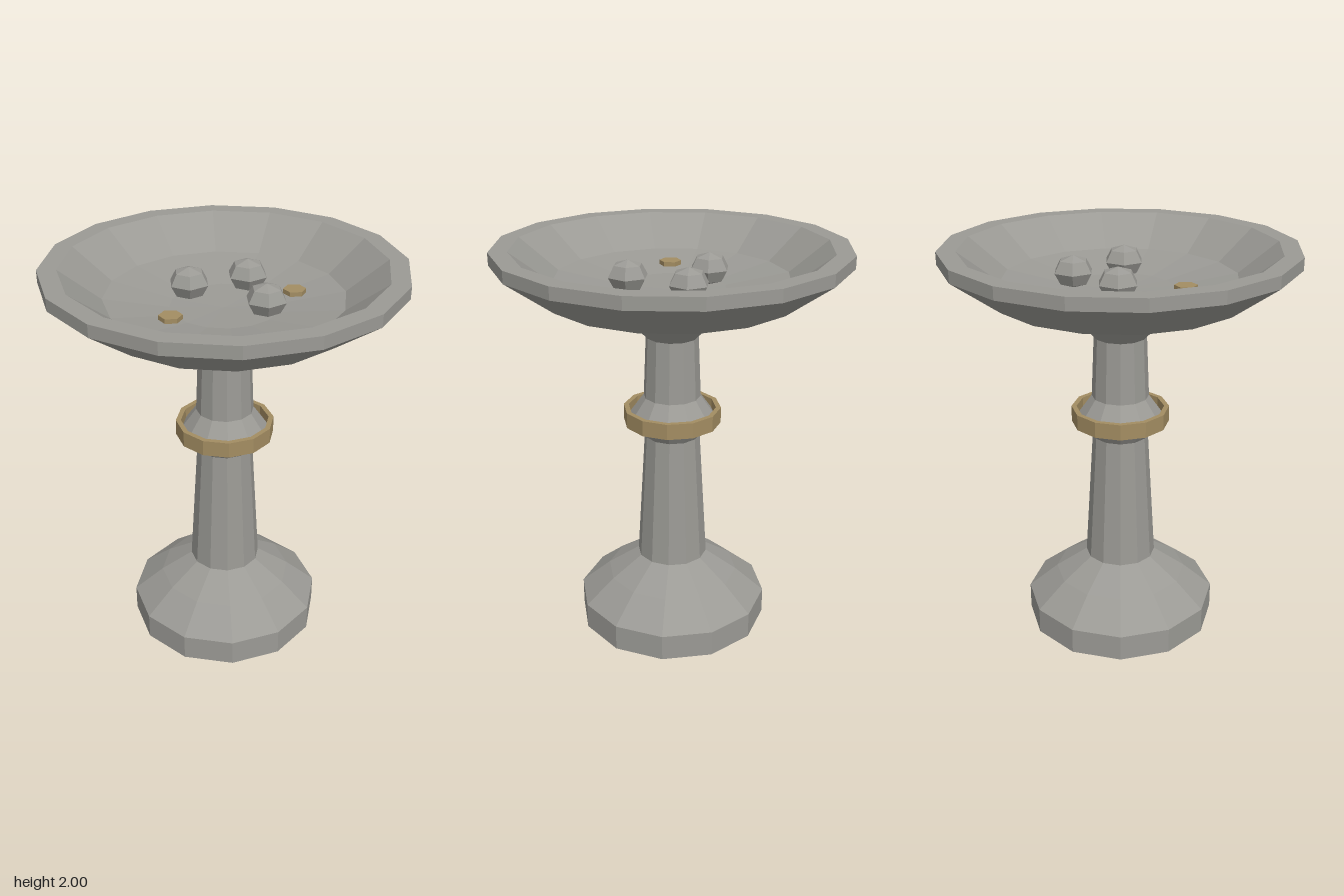
import * as THREE from 'three';

export function createModel() {
  const stone = new THREE.MeshStandardMaterial({ color: 0x9b9a95 });
  const bronze = new THREE.MeshStandardMaterial({ color: 0xa38d62 });
  stone.name = 'stone';
  bronze.name = 'bronze';
  stone.flatShading = bronze.flatShading = true;

  const model = new THREE.Group();
  model.name = 'pedestalBowl';

  // Faceted turned part from [radius, height] pairs, listed bottom to top
  const turned = (name, profile, sides, material) => {
    const points = profile.map(([r, y]) => new THREE.Vector2(r, y));
    const mesh = new THREE.Mesh(new THREE.LatheGeometry(points, sides), material);
    mesh.name = name;
    model.add(mesh);
    return mesh;
  };

  // Foot with sloping shoulder
  turned('base', [[0, 0], [0.49, 0], [0.49, 0.135], [0.34, 0.26], [0.18, 0.365], [0, 0.365]], 12, stone);

  // Tapered column with a collar swelling and a flared neck
  turned('column', [
    [0.18, 0.365], [0.14, 1.04], [0.215, 1.15], [0.143, 1.25], [0.13, 1.56], [0.24, 1.675],
  ], 12, stone);

  // Metal band around the collar
  turned('collarRing', [[0.22, 1.11], [0.245, 1.11], [0.245, 1.19], [0.22, 1.19], [0.22, 1.11]], 12, bronze);

  // Basin: underside, rim, then hollow interior
  turned('bowl', [
    [0, 1.67], [0.24, 1.67], [0.62, 1.77], [0.855, 1.94], [0.855, 2],
    [0.765, 2], [0.57, 1.85], [0.26, 1.8], [0, 1.79],
  ], 16, stone);

  // Faceted pebbles lying in the basin
  [[-0.16, -0.105], [0.125, -0.185], [0.18, 0.125]].forEach(([x, z], i) => {
    const pebble = turned('pebble' + (i + 1),
      [[0, -0.078], [0.07, -0.055], [0.1, 0], [0.07, 0.055], [0, 0.078]], 6, stone);
    pebble.position.set(x, 1.875, z);
  });

  // Hexagonal coins
  [[0.335, -0.055], [-0.26, 0.2]].forEach(([x, z], i) => {
    const coin = new THREE.Mesh(new THREE.CylinderGeometry(0.055, 0.055, 0.022, 6), bronze);
    coin.name = 'coin' + (i + 1);
    coin.rotation.y = Math.PI / 6;
    coin.position.set(x, 1.838, z);
    model.add(coin);
  });

  return model;
}
